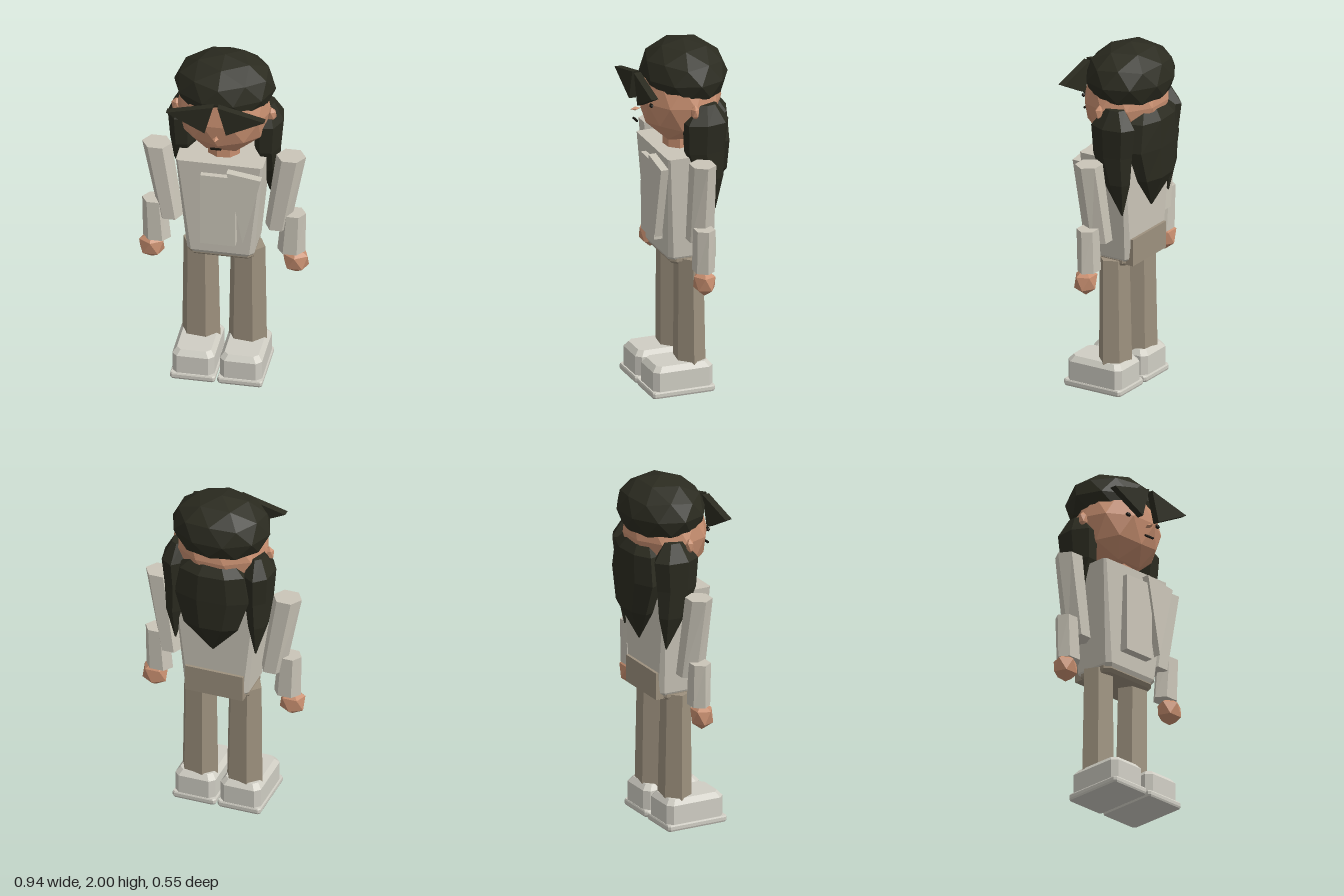
import * as THREE from 'three';

const mat = (name, color) => {
  const m = new THREE.MeshStandardMaterial({ color });
  m.name = name;
  return m;
};

// Give every face its own normal
function faceted(geo) {
  const g = geo.index ? geo.toNonIndexed() : geo;
  g.computeVertexNormals();
  return g;
}

// Skin a stack of equal-length loops (bottom to top) and cap both ends
function loft(rings) {
  const n = rings[0].length, idx = [];
  for (let r = 0; r < rings.length - 1; r++) {
    for (let i = 0; i < n; i++) {
      const a = r * n + i, b = r * n + (i + 1) % n;
      idx.push(a, b, b + n, a, b + n, a + n);
    }
  }
  const top = (rings.length - 1) * n;
  for (let i = 1; i < n - 1; i++) idx.push(top, top + i, top + i + 1, 0, i + 1, i);
  const g = new THREE.BufferGeometry();
  g.setAttribute('position', new THREE.Float32BufferAttribute(rings.flat(2), 3));
  g.setIndex(idx);
  return faceted(g);
}

// Rectangle loop with cut corners
function cutRect(y, hx, hz, c, cx = 0, cz = 0) {
  return [[c - hx, hz], [hx - c, hz], [hx, hz - c], [hx, c - hz],
    [hx - c, -hz], [c - hx, -hz], [-hx, c - hz], [-hx, hz - c]]
    .map(([x, z]) => [cx + x, y, cz + z]);
}

// Oval loop with n corners
function oval(y, cx, cz, rx, rz, n = 6, turn = Math.PI / 6) {
  return Array.from({ length: n }, (_, i) => {
    const t = turn + i / n * Math.PI * 2;
    return [cx + rx * Math.sin(t), y, cz + rz * Math.cos(t)];
  });
}

// Faceted ball with a corner at each pole
function ball(rx, ry, rz, detail) {
  return faceted(new THREE.IcosahedronGeometry(1, detail)
    .rotateZ(Math.atan(2 / (1 + Math.sqrt(5)))).rotateY(Math.PI / 2).scale(rx, ry, rz));
}

// Flat plate from an outline in x and y
function plate(points, z, depth) {
  const shape = new THREE.Shape(points.map(([x, y]) => new THREE.Vector2(x, y)));
  return faceted(new THREE.ExtrudeGeometry(shape, { depth, bevelEnabled: false }).translate(0, 0, z));
}

export function createModel() {
  const skin = mat('skin', 0xc88f70);
  const hair = mat('dark hair', 0x2b2b20);
  const cloth = mat('shirt cloth', 0xcac5b8);
  const trouser = mat('trouser cloth', 0x9d917e);
  const shoeMat = mat('shoe', 0xd0cec4);
  const ink = mat('face ink', 0x17150f);

  const model = new THREE.Group();
  model.name = 'figure';
  const add = (name, geo, material, x = 0, y = 0, z = 0) => {
    const mesh = new THREE.Mesh(geo, material);
    mesh.name = name;
    mesh.position.set(x, y, z);
    model.add(mesh);
    return mesh;
  };

  // Head, neck and face
  add('head', ball(0.265, 0.265, 0.23, 1), skin, 0, 1.675, -0.01);
  add('neck', loft([oval(1.36, 0, 0, 0.095, 0.08, 8), oval(1.47, 0, 0, 0.095, 0.08, 8)]), skin);
  add('nose', faceted(new THREE.OctahedronGeometry(1).scale(0.017, 0.012, 0.03)), skin, 0, 1.625, 0.247);
  add('mouth', new THREE.BoxGeometry(0.062, 0.009, 0.01), ink, 0, 1.56, 0.247);

  // Hair cap and long hair at the back
  add('hairCap', ball(0.285, 0.19, 0.24, 1), hair, 0, 1.81, -0.035);
  add('backHair', loft([
    oval(1.07, 0, -0.17, 0.004, 0.004, 8),
    oval(1.26, 0, -0.2, 0.17, 0.07, 8),
    oval(1.44, 0, -0.185, 0.23, 0.09, 8),
    oval(1.6, 0, -0.18, 0.2, 0.09, 8),
    oval(1.68, 0, -0.16, 0.11, 0.05, 8),
  ]), hair);

  // Torso, belt, back pouch and chest panels
  add('torso', loft([
    cutRect(0.765, 0.175, 0.115, 0.03, 0, -0.01),
    cutRect(0.79, 0.188, 0.13, 0.025, 0, -0.01),
    cutRect(1.39, 0.243, 0.147, 0.012),
  ]), cloth);
  add('belt', loft([
    cutRect(0.745, 0.178, 0.1, 0.03, 0, -0.01),
    cutRect(0.762, 0.185, 0.117, 0.03, 0, -0.01),
    cutRect(0.78, 0.185, 0.117, 0.03, 0, -0.01),
  ]), trouser);
  add('backPouch', new THREE.BoxGeometry(0.34, 0.155, 0.06), trouser, 0, 0.832, -0.128);
  add('chestPanel', new THREE.BoxGeometry(0.195, 0.45, 0.05), cloth, -0.002, 1.1, 0.15);
  add('lapel', plate([[0.05, 1.365], [0.14, 0.91], [0.24, 1.335]], 0.145, 0.045), cloth);

  for (const s of [1, -1]) {
    const side = s > 0 ? 'left' : 'right';

    // Face details and fringe
    add(side + 'Ear', ball(0.032, 0.045, 0.025, 0), skin, s * 0.265, 1.66, 0);
    add(side + 'Eye', faceted(new THREE.IcosahedronGeometry(1, 0).scale(0.018, 0.014, 0.012)),
      ink, s * 0.112, 1.675, 0.197);
    add(side + 'Fringe', plate([[s * 0.012, 1.84], [s * 0.06, 1.665], [s * 0.275, 1.775]], 0.22, 0.04), hair);

    // Hanging side lock
    add(side + 'Lock', loft([
      oval(1.07, s * 0.235, -0.13, 0.004, 0.004, 7),
      oval(1.26, s * 0.24, -0.1, 0.055, 0.08, 7),
      oval(1.42, s * 0.235, -0.07, 0.075, 0.12, 7),
      oval(1.59, s * 0.24, -0.075, 0.085, 0.135, 7),
      oval(1.69, s * 0.23, -0.08, 0.04, 0.06, 7),
    ]), hair);

    // Sleeves lean inwards towards the hips
    add(side + 'UpperArm', loft([
      oval(0.925, s * 0.298, -0.015, 0.07, 0.08),
      oval(1.395, s * 0.375, -0.002, 0.083, 0.074),
    ]), cloth);
    add(side + 'Forearm', loft([
      oval(0.77, s * 0.375, -0.005, 0.078, 0.06),
      oval(1.02, s * 0.39, -0.005, 0.068, 0.06),
    ]), cloth);
    add(side + 'Hand', ball(0.08, 0.082, 0.068, 0), skin, s * 0.403, 0.715, 0);

    // Trouser legs
    add(side + 'Leg', loft([
      oval(0.15, s * 0.13, -0.02, 0.11, 0.088, 6, Math.PI / 6 - 0.15),
      oval(0.775, s * 0.132, -0.015, 0.1, 0.08, 6, Math.PI / 6 - 0.15),
    ]), trouser);

    // Shoes with a wider sole
    add(side + 'Shoe', loft([
      cutRect(0.03, 0.118, 0.175, 0.03, s * 0.133, 0.055),
      cutRect(0.145, 0.118, 0.175, 0.03, s * 0.133, 0.055),
      cutRect(0.175, 0.095, 0.15, 0.025, s * 0.133, 0.055),
    ]), shoeMat);
    add(side + 'Sole', loft([
      cutRect(0, 0.122, 0.18, 0.012, s * 0.132, 0.058),
      cutRect(0.01, 0.126, 0.184, 0.012, s * 0.132, 0.058),
      cutRect(0.028, 0.126, 0.184, 0.012, s * 0.132, 0.058),
      cutRect(0.036, 0.122, 0.18, 0.012, s * 0.132, 0.058),
    ]), shoeMat);
  }
  return model;
}
